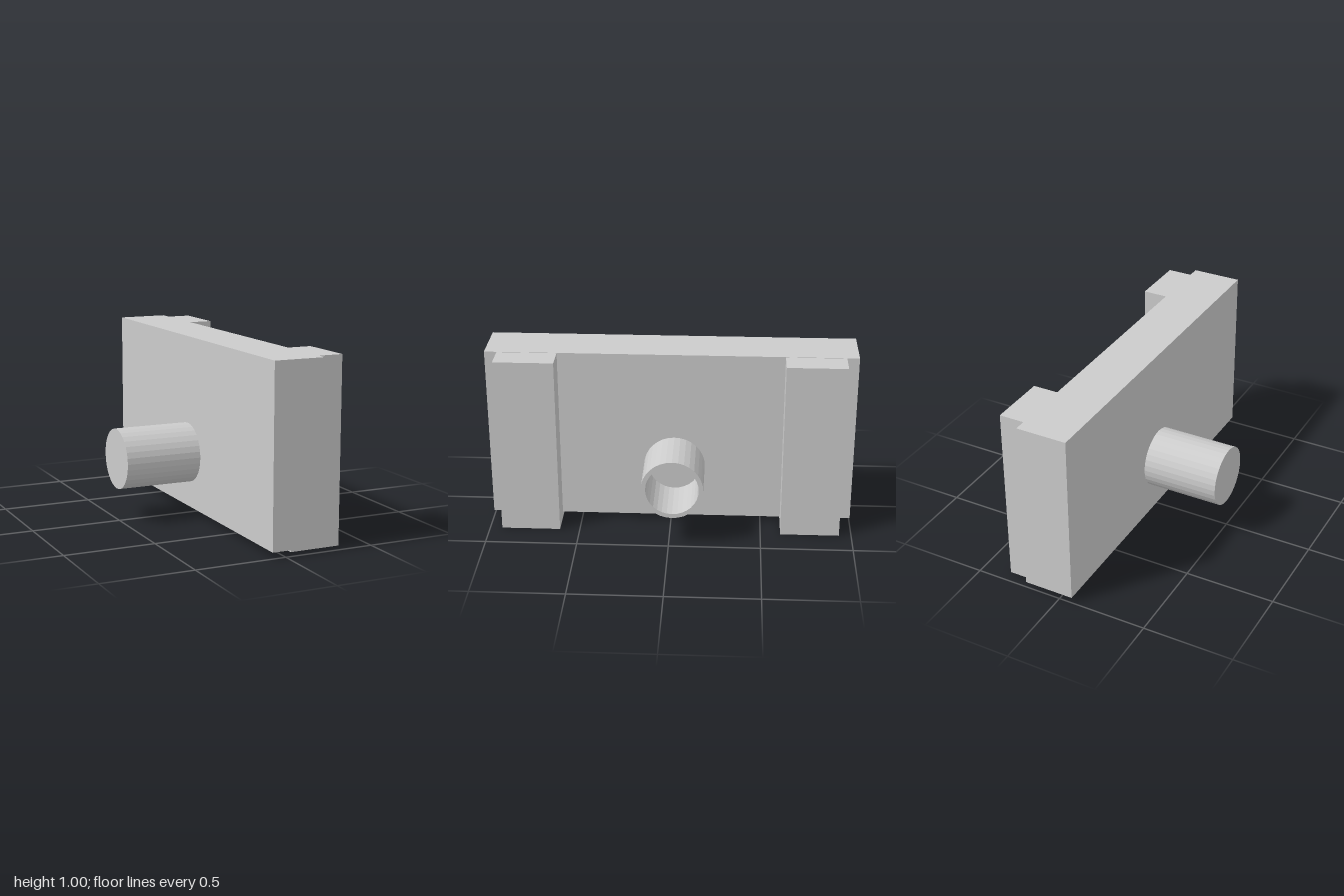
import * as THREE from 'three';

export function createModel() {
  const group = new THREE.Group();
  const material = new THREE.MeshStandardMaterial({ color: 0xcccccc, flatShading: true });

  const add = (name, geometry) => {
    const mesh = new THREE.Mesh(geometry, material);
    mesh.name = name;
    group.add(mesh);
    return mesh;
  };

  // Box given by its lower and upper corners
  const box = (name, lo, hi) => {
    const size = hi.map((v, i) => v - lo[i]);
    const mesh = add(name, new THREE.BoxGeometry(...size));
    mesh.position.set(...hi.map((v, i) => (v + lo[i]) / 2));
  };

  // Main upright slab
  box('slab', [-0.075, 0.033, -1], [0.205, 1, 1]);

  // Pair of rails let into the slab's left face
  box('frontRail', [0.065, 0, 0.61], [0.345, 0.998, 0.933]);
  box('rearRail', [0.065, 0, -0.933], [0.345, 0.998, -0.61]);

  // Pin through the slab: solid on one side, hollow socket on the other
  const radius = 0.167, bore = 0.143, half = 0.505, floor = 0.205;
  const profile = [
    [0, -half], [radius, -half], [radius, half],
    [bore, half], [bore, floor], [0, floor],
  ].map(([r, h]) => new THREE.Vector2(r, h));
  const pin = add('pin', new THREE.LatheGeometry(profile, 32).rotateZ(-Math.PI / 2));
  pin.position.set(0, 0.345, -0.02);

  return group;
}
